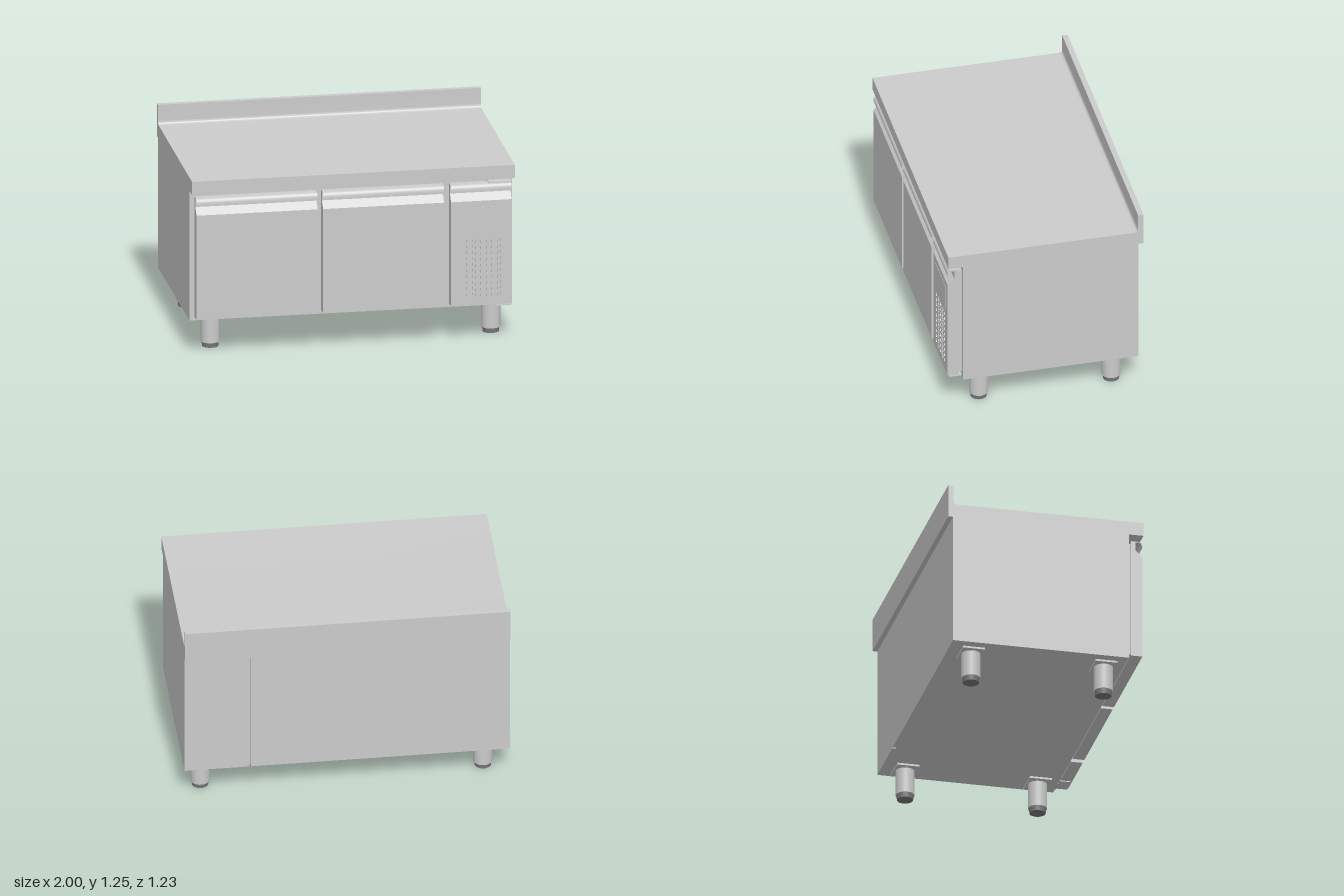
import * as THREE from 'three';
import { toCreasedNormals } from 'three/addons/utils/BufferGeometryUtils.js';

const steel = new THREE.MeshStandardMaterial({ color: 0xcccccc });
const dark = new THREE.MeshStandardMaterial({ color: 0x777777 });

export function createModel() {
  const model = new THREE.Group();

  const add = (name, geometry, parent = model, material = steel) => {
    const mesh = new THREE.Mesh(geometry, material);
    mesh.name = name;
    parent.add(mesh);
    return mesh;
  };

  // Box given by its limits on each axis
  const box = (name, x0, x1, y0, y1, z0, z1, parent, material) =>
    add(name, new THREE.BoxGeometry(x1 - x0, y1 - y0, z1 - z0)
      .translate((x0 + x1) / 2, (y0 + y1) / 2, (z0 + z1) / 2), parent, material);

  // Profile drawn in (z, y) and extruded from x0 to x1
  const extrudeX = (name, shape, x0, x1, parent) => {
    const geo = new THREE.ExtrudeGeometry(shape, { depth: x1 - x0, bevelEnabled: false, curveSegments: 8 });
    geo.rotateY(-Math.PI / 2).translate(x1, 0, 0);
    return add(name, toCreasedNormals(geo, 0.6), parent);
  };
  const polygon = (points) => new THREE.Shape(points.map(([a, b]) => new THREE.Vector2(a, b)));

  // Worktop with coved upstand along the back
  const top = new THREE.Shape();
  top.moveTo(0.612, 1.035);
  top.lineTo(0.612, 1.12);
  top.lineTo(-0.555, 1.12);
  top.quadraticCurveTo(-0.578, 1.12, -0.578, 1.143);
  top.lineTo(-0.578, 1.245);
  top.lineTo(-0.612, 1.245);
  top.lineTo(-0.612, 1.035);
  extrudeX('worktop', top, -1, 1);

  // Cabinet body and the two back panels with a seam between them
  box('cabinetBody', -1, 1, 0.205, 1.035, -0.56, 0.52);
  box('backPanel', -1, 0.593, 0.205, 1.035, -0.582, -0.56);
  box('compressorBackPanel', 0.605, 1, 0.205, 1.035, -0.582, -0.56);
  box('centrePillarStrip', -0.215, -0.19, 0.31, 0.93, 0.52, 0.523);

  // Curled pull lip above a door
  const addHandle = (x0, x1, parent) => {
    const lip = new THREE.Shape();
    lip.moveTo(0.540, 1.0);
    lip.lineTo(0.590, 1.0);
    lip.quadraticCurveTo(0.609, 0.998, 0.609, 0.970);
    lip.lineTo(0.613, 0.970);
    lip.quadraticCurveTo(0.613, 1.002, 0.590, 1.005);
    lip.lineTo(0.540, 1.005);
    extrudeX('handleLip', lip, x0, x1, parent);
  };

  const gasket = (x0, x1, parent) => box('doorGasket', x0 + 0.012, x1 - 0.012, 0.247, 0.99, 0.52, 0.54, parent);

  // Solid doors with a sloped upper edge
  for (const [x0, x1] of [[-0.972, -0.222], [-0.188, 0.562]]) {
    const door = new THREE.Group();
    door.name = 'door';
    model.add(door);
    extrudeX('doorPanel', polygon([[0.54, 0.235], [0.612, 0.235], [0.612, 0.902],
      [0.57, 0.945], [0.57, 1.0], [0.54, 1.0]]), x0, x1, door);
    gasket(x0, x1, door);
    addHandle(x0, x1, door);
  }

  // Compressor door: hollow frame, pierced front sheet, sloped head
  const vent = new THREE.Group();
  vent.name = 'compressorDoor';
  model.add(vent);
  const [vx0, vx1] = [0.605, 0.98];
  extrudeX('doorHead', polygon([[0.54, 0.88], [0.612, 0.88], [0.612, 0.902],
    [0.57, 0.945], [0.57, 1.0], [0.54, 1.0]]), vx0, vx1, vent);
  box('doorSide', vx0, vx0 + 0.015, 0.235, 0.88, 0.54, 0.602, vent);
  box('doorSide', vx1 - 0.015, vx1, 0.235, 0.88, 0.54, 0.602, vent);
  box('doorBottom', vx0 + 0.015, vx1 - 0.015, 0.235, 0.25, 0.54, 0.602, vent);
  const sheet = polygon([[vx0, 0.235], [vx1, 0.235], [vx1, 0.88], [vx0, 0.88]]);
  const columns = 14, rows = 10, hw = 0.006, hh = 0.014;
  for (let c = 0; c < columns; c++) {
    for (let r = 0; r < rows; r++) {
      const x = 0.68 + c * 0.0172;
      const y = 0.298 + r * 0.038 + (c % 2) * 0.008;
      const hole = new THREE.Path();
      hole.moveTo(x - hw, y - hh + hw);
      hole.lineTo(x, y - hh);
      hole.lineTo(x + hw, y - hh + hw);
      hole.lineTo(x + hw, y + hh - hw);
      hole.lineTo(x, y + hh);
      hole.lineTo(x - hw, y + hh - hw);
      hole.closePath();
      sheet.holes.push(hole);
    }
  }
  add('ventGrille', new THREE.ExtrudeGeometry(sheet, { depth: 0.01, bevelEnabled: false })
    .translate(0, 0, 0.602), vent);
  box('controlPlate', 0.66, 0.925, 0.69, 0.86, 0.611, 0.614, vent);
  gasket(vx0, vx1, vent);
  addHandle(vx0, vx1, vent);

  // Hinges above and below the compressor door
  const hinges = new THREE.Group();
  hinges.name = 'hinges';
  model.add(hinges);
  box('upperHingeBracket', 0.81, 0.965, 1.025, 1.035, 0.525, 0.56, hinges);
  box('upperHingePost', 0.94, 0.965, 1.012, 1.025, 0.525, 0.545, hinges);
  box('upperHingeArm', 0.84, 0.985, 1.007, 1.013, 0.53, 0.6, hinges);
  box('lowerHingeArm', 0.87, 0.98, 0.224, 0.23, 0.525, 0.603, hinges);
  box('lowerHingeBracket', 0.88, 0.965, 0.21, 0.226, 0.52, 0.53, hinges);
  for (const y of [0.231, 1.004]) {
    add('hingePin', new THREE.CylinderGeometry(0.01, 0.01, 0.012, 16).translate(0.955, y, 0.575), hinges);
  }

  // Legs with mounting plates and adjustable feet
  for (const x of [-0.85, 0.888]) {
    for (const z of [0.396, -0.435]) {
      const leg = new THREE.Group();
      leg.name = 'leg';
      leg.position.set(x, 0, z);
      model.add(leg);
      box('mountingPlate', -0.088, 0.088, 0.193, 0.205, -0.069, 0.069, leg);
      add('legTube', new THREE.CylinderGeometry(0.059, 0.059, 0.163, 32).translate(0, 0.1125, 0), leg);
      add('foot', new THREE.CylinderGeometry(0.052, 0.05, 0.032, 32).translate(0, 0.016, 0), leg, dark);
    }
  }

  return model;
}
